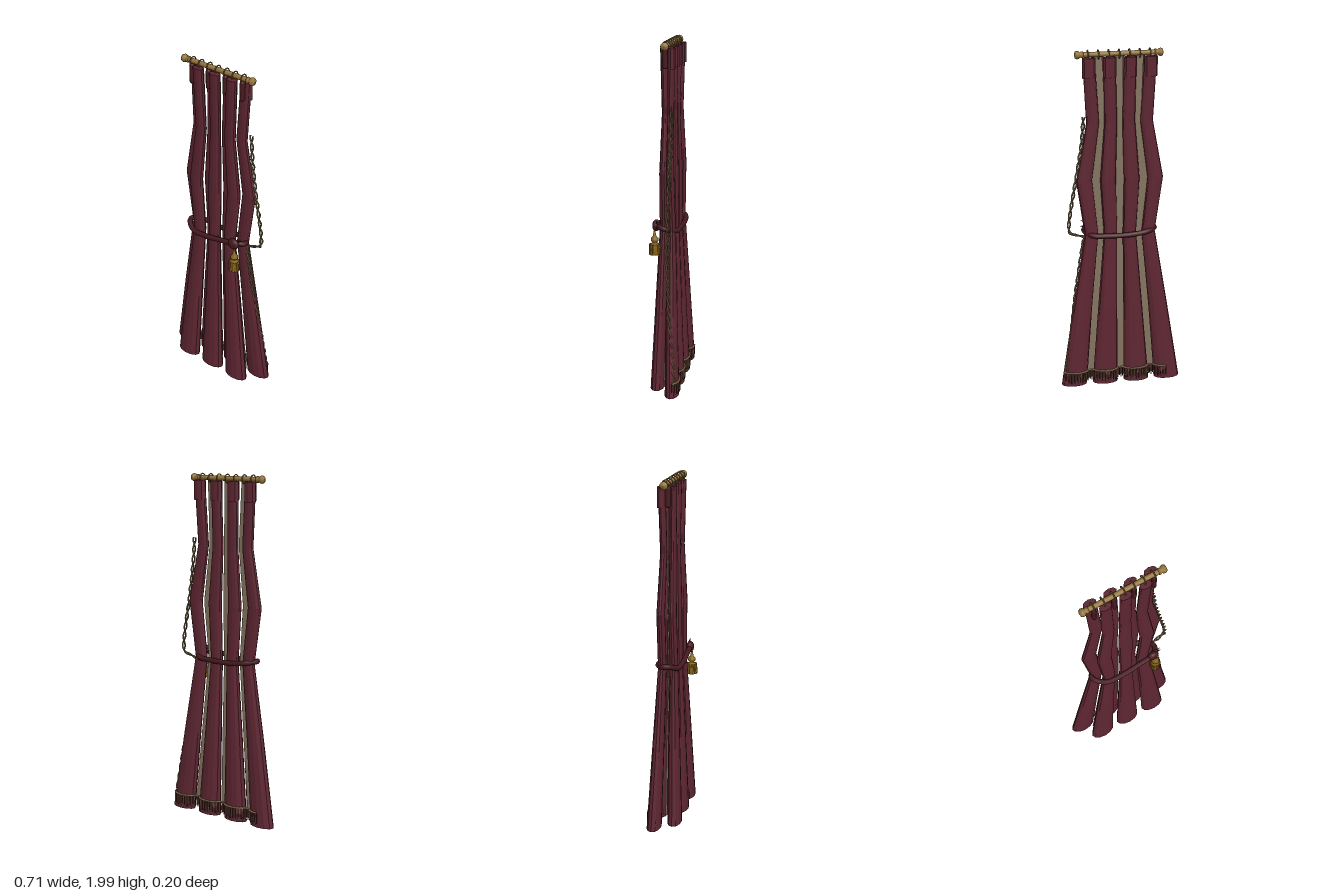
import * as THREE from 'three';

const V = (x, y, z) => new THREE.Vector3(x, y, z);
const mat = (color, extra = {}) => new THREE.MeshStandardMaterial({ color, ...extra });

// Curtain outline at each height: y, spread of pleat centres, half width, half depth, z offset
const KEYS = [
  [0.015, 0.28, 0.076, 0.041, 0.05],
  [0.5, 0.223, 0.056, 0.033, 0.037],
  [0.95, 0.165, 0.039, 0.023, 0.027],
  [1.27, 0.204, 0.045, 0.022, 0.025],
  [1.6, 0.152, 0.036, 0.018, 0.02],
  [1.96, 0.172, 0.034, 0.02, 0.025],
];
const CX = 0.008;

export function createModel() {
  const model = new THREE.Group();
  const cloth = mat(0x5e2632, { flatShading: true });
  const darkCloth = mat(0x47191f);
  const brass = mat(0x94753d);
  const gold = mat(0x8c661c);
  const braid = mat(0x786844);
  const lining = mat(0x857560, { side: THREE.DoubleSide });

  const add = (name, geometry, material, x = 0, y = 0, z = 0, parent = model) => {
    const mesh = new THREE.Mesh(geometry, material);
    mesh.name = name;
    mesh.position.set(x, y, z);
    parent.add(mesh);
    return mesh;
  };
  const group = (name) => {
    const g = new THREE.Group();
    g.name = name;
    model.add(g);
    return g;
  };

  // Seven pleats, alternating between the back and front rows
  const pleats = group('pleats');
  const n = KEYS.length - 1;
  for (let i = 0; i < 7; i++) {
    const t = i / 3 - 1;
    const side = i % 2 ? 1 : -1;
    const geo = new THREE.CylinderGeometry(1, 1, 1, 12, n);
    const p = geo.attributes.position;
    for (let k = 0; k < p.count; k++) {
      const [y, spread, hw, hd, off] = KEYS[Math.round((p.getY(k) + 0.5) * n)];
      p.setXYZ(k, CX + t * spread + p.getX(k) * hw, y, side * off + p.getZ(k) * hd);
    }
    geo.computeVertexNormals();
    add(side > 0 ? 'frontPleat' : 'backPleat', geo, cloth, 0, 0, 0, pleats);

    // Pale lining strip on the inner face of each front pleat
    if (side > 0) {
      const strip = new THREE.PlaneGeometry(1, 1, 1, n);
      const q = strip.attributes.position;
      for (let k = 0; k < q.count; k++) {
        const [y, spread, hw, hd, off] = KEYS[Math.round((q.getY(k) + 0.5) * n)];
        q.setXYZ(k, CX + t * spread + q.getX(k) * hw * 1.3, Math.max(y, 0.06), off - hd - 0.002);
      }
      strip.computeVertexNormals();
      add('liningStrip', strip, lining, 0, 0, 0, pleats);
    }
  }

  // Gathered headers on the back pleats, each with a rounded strap in front
  const headers = group('headers');
  for (let i = 0; i < 4; i++) {
    const x = CX + (i * 2 / 3 - 1) * 0.172;
    const head = add('header', new THREE.CylinderGeometry(1, 1, 0.11, 8), cloth, x, 1.907, -0.03, headers);
    head.scale.set(0.037, 1, 0.021);
    const strap = add('strap', new THREE.CapsuleGeometry(0.013, 0.09, 4, 8), darkCloth, x, 1.907, 0.008, headers);
    strap.scale.z = 1.3;
  }

  // Rod with turned finials
  const rod = add('rod', new THREE.CylinderGeometry(0.014, 0.014, 0.46, 16), brass, CX, 1.975, 0);
  rod.rotation.z = Math.PI / 2;
  const finial = [[0, -0.01], [0.018, -0.01], [0.018, 0], [0.013, 0.006], [0.02, 0.012], [0.023, 0.023], [0.018, 0.034], [0, 0.039]]
    .map(([r, y]) => new THREE.Vector2(r, y));
  for (const s of [-1, 1]) {
    add('finial', new THREE.LatheGeometry(finial, 16), brass, CX + s * 0.208, 1.975, 0).rotation.z = -s * Math.PI / 2;
  }

  // Hanging rings
  for (let i = 0; i < 7; i++) {
    const x = CX + (i / 3 - 1) * 0.172;
    add('ring', new THREE.TorusGeometry(0.024, 0.0035, 6, 20), brass, x, 1.974, 0).rotation.y = Math.PI / 2;
  }

  // Tieback wrapped round the waist
  const tie = new THREE.CatmullRomCurve3([
    V(-0.185, 0.96, 0.02), V(-0.13, 0.94, 0.055), V(-0.03, 0.945, 0.064), V(0.08, 0.962, 0.062),
    V(0.17, 0.975, 0.055), V(0.212, 0.965, 0.01), V(0.17, 0.95, -0.052), V(0.08, 0.945, -0.062),
    V(-0.06, 0.945, -0.062), V(-0.15, 0.955, -0.052), V(-0.198, 0.962, -0.01),
  ], true);
  add('tieback', new THREE.TubeGeometry(tie, 80, 0.015, 8, true), darkCloth);
  const knot = add('tiebackKnot', new THREE.SphereGeometry(0.033, 12, 8), darkCloth, 0.172, 0.975, 0.06);
  knot.scale.set(1.1, 1, 0.7);
  for (const a of [-1.0, -1.6]) {
    const end = add('tieEnd', new THREE.ConeGeometry(0.014, 0.06, 8), darkCloth, 0.2, 0.985 + (a + 1.3) * 0.04, 0.05);
    end.rotation.z = a;
  }

  // Tassel below the knot
  const tassel = [[0, -0.115], [0.031, -0.115], [0.027, -0.055], [0.014, -0.05], [0.013, -0.044], [0.022, -0.036],
    [0.022, -0.022], [0.01, -0.01], [0.004, 0.025], [0, 0.025]].map(([r, y]) => new THREE.Vector2(r, y));
  add('tassel', new THREE.LatheGeometry(tassel, 14), gold, 0.185, 0.925, 0.068);
  for (let i = 0; i < 12; i++) {
    const a = i / 12 * Math.PI * 2;
    add('tasselStrand', new THREE.CylinderGeometry(0.006, 0.008, 0.06, 5), gold,
      0.185 + Math.cos(a) * 0.026, 0.84, 0.068 + Math.sin(a) * 0.026);
  }

  // Two-strand braid up the left edge, swinging free above the tieback
  const edge = new THREE.CatmullRomCurve3([
    V(0.335, 0.1, -0.068), V(0.302, 0.35, -0.045), V(0.264, 0.62, -0.022), V(0.222, 0.88, -0.015),
    V(0.215, 0.93, -0.02), V(0.295, 0.965, -0.028), V(0.302, 1.0, -0.028), V(0.284, 1.14, -0.028),
    V(0.254, 1.3, -0.03), V(0.226, 1.48, -0.033), V(0.212, 1.64, -0.036),
  ], false, 'centripetal');
  for (const phase of [0, Math.PI]) {
    const pts = [];
    for (let i = 0; i <= 220; i++) {
      const p = edge.getPointAt(i / 220);
      const a = i / 220 * Math.PI * 2 * 14 + phase;
      pts.push(V(p.x + Math.cos(a) * 0.007, p.y, p.z + Math.sin(a) * 0.007));
    }
    add('edgeBraid', new THREE.TubeGeometry(new THREE.CatmullRomCurve3(pts), 330, 0.005, 5), braid);
  }

  // Hem trim following the back pleats, with hanging fringe
  const hem = [];
  for (let i = 0; i < 4; i++) {
    const x = CX + (i * 2 / 3 - 1) * 0.27;
    for (let k = 0; k <= 8; k++) {
      const a = Math.PI * (0.92 - 0.84 * k / 8);
      if (i === 0 && k < 4) continue;
      hem.push(V(x + Math.cos(a) * 0.076, 0.1, -0.047 - Math.sin(a) * 0.044));
    }
  }
  const hemCurve = new THREE.CatmullRomCurve3(hem);
  add('hemTrim', new THREE.TubeGeometry(hemCurve, 140, 0.006, 6), braid);
  const fringe = group('fringe');
  for (let i = 0; i <= 80; i++) {
    const p = hemCurve.getPointAt(i / 80);
    const len = 0.06 + 0.008 * Math.sin(i * 2.4);
    add('fringeStrand', new THREE.CylinderGeometry(0.002, 0.0035, len, 5), i % 2 ? braid : darkCloth,
      p.x, 0.1 - len / 2, p.z - 0.001, fringe);
  }
  return model;
}
